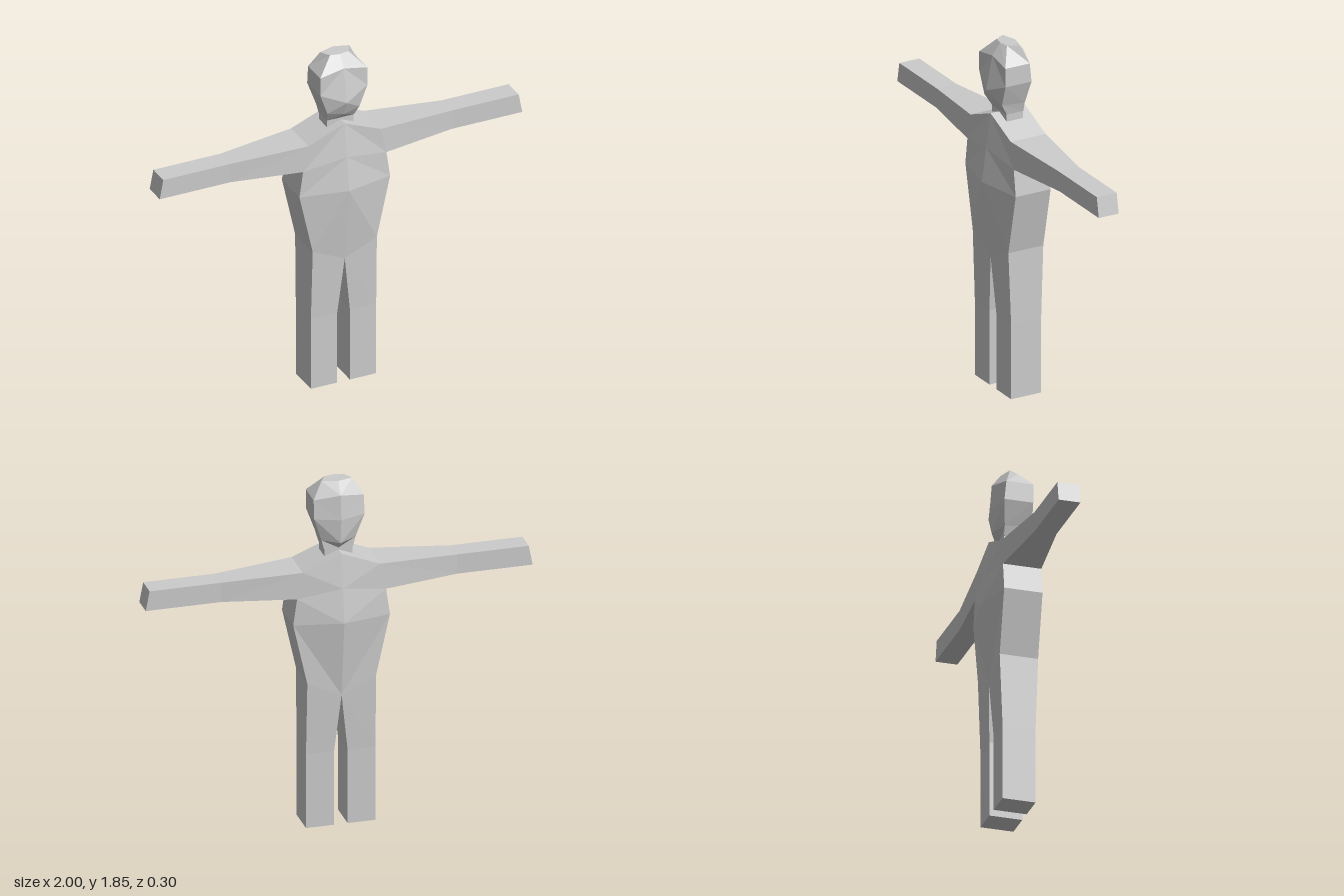
import * as THREE from 'three';

const material = new THREE.MeshStandardMaterial({ color: 0xcccccc, flatShading: true });

// Joins point rings into a faceted skin; side = -1 gives the mirrored copy.
function loft(name, rings, { side = 1, capStart = false, capEnd = false } = {}) {
  const positions = [];
  const tri = (a, b, c) => {
    for (const p of side > 0 ? [a, b, c] : [a, c, b]) positions.push(p[0] * side, p[1], p[2]);
  };
  const n = rings[0].length;
  for (let r = 0; r < rings.length - 1; r++) {
    const a = rings[r], b = rings[r + 1];
    for (let i = 0; i < n; i++) {
      const j = (i + 1) % n;
      // the diagonal flips halfway round so that symmetric rings stay symmetric
      if (i < n / 2) {
        tri(a[i], b[i], b[j]);
        tri(a[i], b[j], a[j]);
      } else {
        tri(a[i], b[i], a[j]);
        tri(b[i], b[j], a[j]);
      }
    }
  }
  const first = rings[0], last = rings[rings.length - 1];
  for (let i = 1; i < n - 1; i++) {
    if (capStart) tri(first[0], first[i], first[i + 1]);
    if (capEnd) tri(last[0], last[i + 1], last[i]);
  }
  const geometry = new THREE.BufferGeometry();
  geometry.setAttribute('position', new THREE.Float32BufferAttribute(positions, 3));
  geometry.computeVertexNormals();
  const mesh = new THREE.Mesh(geometry, material);
  mesh.name = name;
  return mesh;
}

// Six-point symmetric ring from front centre, front side, back side and back centre.
const hexRing = (front, frontSide, backSide, back) => {
  const flip = ([x, y, z]) => [-x, y, z];
  return [front, frontSide, backSide, back, flip(backSide), flip(frontSide)];
};

// Torso level: centre height and depth, then side position and depth.
const torsoRing = (cy, cz, x, y, z) => hexRing([0, cy, cz], [x, y, z], [x, y, -z], [0, cy, -cz]);

// Arm section: top and bottom edges in x and y, half depth z.
const armRing = (xt, yt, xb, yb, z) => [[xt, yt, z], [xt, yt, -z], [xb, yb, -z], [xb, yb, z]];

// Leg section: inner and outer edges in x and y, half depth z.
const legRing = (xi, yi, xo, yo, z) => [[xi, yi, z], [xo, yo, z], [xo, yo, -z], [xi, yi, -z]];

export function createModel() {
  const model = new THREE.Group();
  model.name = 'figure';

  // Torso, with a ridge down the middle of chest and back
  model.add(loft('torso', [
    torsoRing(1.48, 0.10, 0.20, 1.40, 0.10),
    torsoRing(1.30, 0.125, 0.23, 1.26, 0.10),
    torsoRing(1.12, 0.15, 0.25, 1.12, 0.10),
    torsoRing(0.71, 0.10, 0.177, 0.79, 0.10),
  ], { capStart: true }));

  // Head, from crown to base
  model.add(loft('head', [
    hexRing([0, 1.85, 0.045], [0.05, 1.85, 0.035], [0.08, 1.85, -0.015], [0, 1.85, -0.04]),
    hexRing([0, 1.79, 0.09], [0.13, 1.765, 0.09], [0.13, 1.765, -0.05], [0, 1.79, -0.085]),
    hexRing([0, 1.61, 0.125], [0.13, 1.665, 0.09], [0.13, 1.665, -0.06], [0, 1.66, -0.095]),
    hexRing([0, 1.53, 0.09], [0.088, 1.55, 0.085], [0.088, 1.54, -0.045], [0, 1.53, -0.085]),
    hexRing([0, 1.49, 0.05], [0.075, 1.49, 0.05], [0.075, 1.49, -0.045], [0, 1.49, -0.045]),
  ], { capStart: true, capEnd: true }));

  // Neck, a short block sunk into the shoulders
  const neck = new THREE.Mesh(new THREE.BoxGeometry(0.145, 0.05, 0.095), material);
  neck.name = 'neck';
  neck.position.set(0, 1.47, 0.0025);
  model.add(neck);

  for (const [label, side] of [['left', 1], ['right', -1]]) {
    // Arms: shoulder, elbow, hand end
    model.add(loft(label + 'Arm', [
      armRing(0.20, 1.40, 0.23, 1.26, 0.10),
      armRing(0.61, 1.38, 0.61, 1.275, 0.057),
      armRing(0.98, 1.38, 1.0, 1.275, 0.057),
    ], { side, capEnd: true }));

    // Legs: hip, knee, sole
    model.add(loft(label + 'Leg', [
      legRing(0, 0.71, 0.177, 0.79, 0.10),
      legRing(0.035, 0.40, 0.18, 0.40, 0.086),
      legRing(0.035, 0, 0.18, 0, 0.086),
    ], { side, capEnd: true }));
  }

  return model;
}
